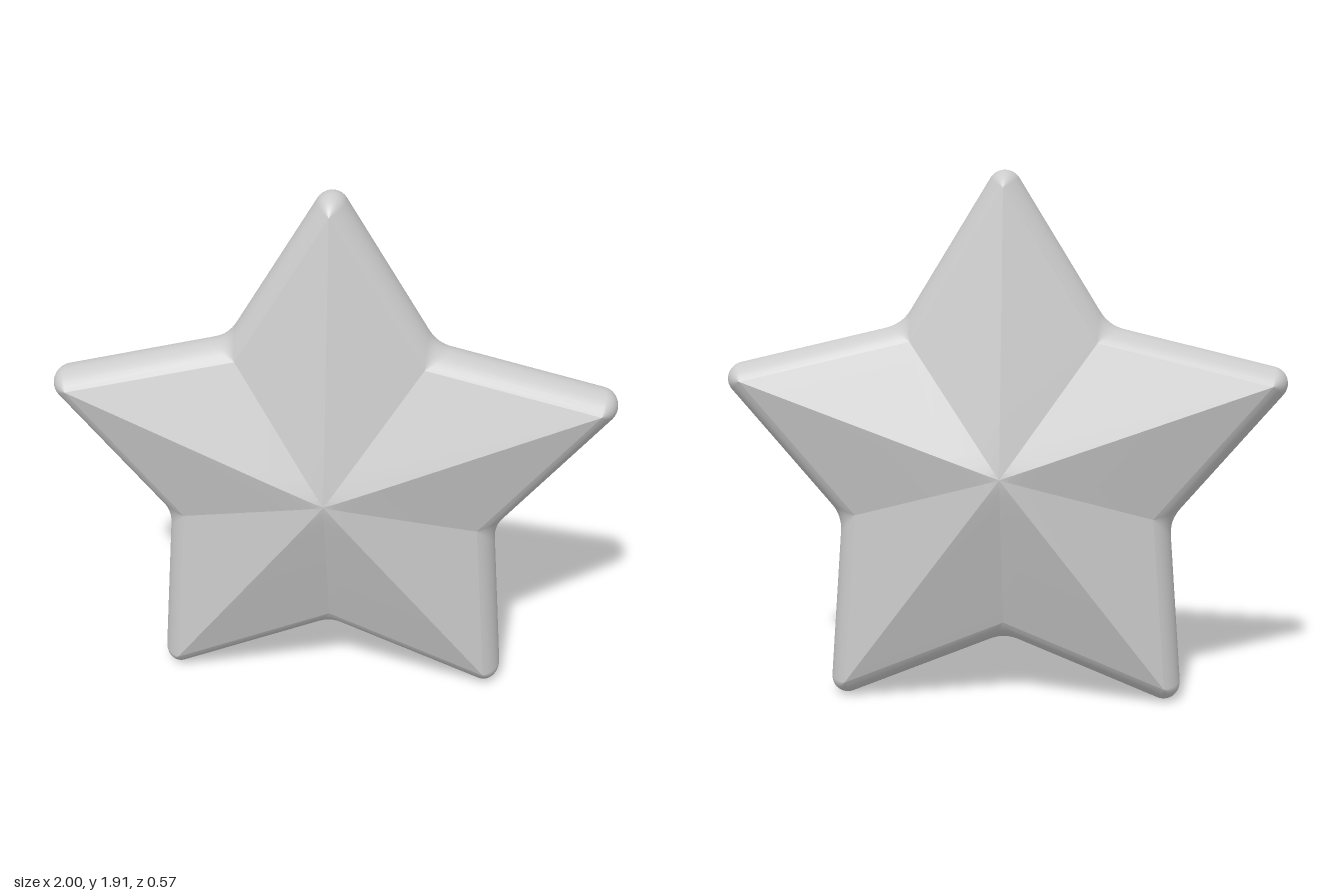
import * as THREE from 'three';
import { toCreasedNormals } from 'three/addons/utils/BufferGeometryUtils.js';

const CENTRE_Y = 0.859, TIP_R = 0.988, NOTCH_R = 0.56;
const RIM_Z = 0.1, BEVEL = 0.06, FILLET = 0.06;

const polar = (r, a) => new THREE.Vector2(r * Math.cos(a), r * Math.sin(a));

// Corners of the star's face: even = tip, odd = notch, counter-clockwise
const corners = Array.from({ length: 10 }, (_, i) =>
  polar(i % 2 ? NOTCH_R : TIP_R, Math.PI / 2 + i * Math.PI / 5));

function makeGeometry(positions, index) {
  const geo = new THREE.BufferGeometry();
  geo.setAttribute('position', new THREE.Float32BufferAttribute(positions, 3));
  geo.setIndex(index);
  return geo;
}

// Ridged face: scaled star rings rising to a softly rounded centre
function faceGeometry() {
  const rings = [[1, RIM_Z], [0.2, 0.254], [0.12, 0.268], [0.05, 0.28]];
  const pos = [], index = [];
  for (const [t, z] of rings) for (const c of corners) pos.push(c.x * t, c.y * t, z);
  pos.push(0, 0, 0.285);
  const apex = rings.length * 10;
  for (let k = 0; k < rings.length; k++) {
    for (let i = 0; i < 10; i++) {
      const n = (i + 1) % 10, a = k * 10 + i, b = k * 10 + n;
      if (k === rings.length - 1) index.push(a, b, apex);
      else index.push(a, b, b + 10, a, b + 10, a + 10);
    }
  }
  return toCreasedNormals(makeGeometry(pos, index), 0.22);
}

// Rim outline: each sample is a face corner plus its outward offset
function rimSamples() {
  const samples = [];
  corners.forEach((c, i) => {
    const prev = corners[(i + 9) % 10], next = corners[(i + 1) % 10];
    const dirIn = c.clone().sub(prev).normalize();
    const dirOut = next.clone().sub(c).normalize();
    const nIn = new THREE.Vector2(dirIn.y, -dirIn.x);
    const nOut = new THREE.Vector2(dirOut.y, -dirOut.x);
    if (i % 2 === 0) {
      // round tip
      const a0 = nIn.angle();
      let turn = nOut.angle() - a0;
      if (turn < 0) turn += Math.PI * 2;
      for (let s = 0; s <= 10; s++) samples.push([c, polar(BEVEL, a0 + turn * s / 10)]);
    } else {
      // filleted notch
      const mid = nIn.clone().add(nOut).normalize();
      mid.multiplyScalar(BEVEL / mid.dot(nIn));
      const start = mid.clone().addScaledVector(dirIn, -FILLET);
      const end = mid.clone().addScaledVector(dirOut, FILLET);
      const curve = new THREE.QuadraticBezierCurve(start, mid, end);
      for (const p of curve.getPoints(8)) samples.push([c, p]);
    }
  });
  return samples;
}

// Rounded rim: an arc profile swept round the outline from front to back
function rimGeometry() {
  const samples = rimSamples(), steps = 14, A = Math.PI / 3;
  const pos = [], index = [], row = steps + 1, count = samples.length;
  for (const [c, v] of samples) {
    for (let j = 0; j <= steps; j++) {
      const a = A - 2 * A * j / steps;
      const o = (Math.cos(a) - Math.cos(A)) / (1 - Math.cos(A));
      pos.push(c.x + v.x * o, c.y + v.y * o, RIM_Z * Math.sin(a) / Math.sin(A));
    }
  }
  for (let i = 0; i < count; i++) {
    for (let j = 0; j < steps; j++) {
      const a = i * row + j, b = ((i + 1) % count) * row + j;
      index.push(a, a + 1, b, b, a + 1, b + 1);
    }
  }
  const geo = makeGeometry(pos, index);
  geo.computeVertexNormals();
  return geo;
}

export function createModel() {
  const group = new THREE.Group();
  group.name = 'star';
  const material = new THREE.MeshStandardMaterial({ color: 0xcccccc });
  const add = (name, geometry) => {
    const mesh = new THREE.Mesh(geometry, material);
    mesh.name = name;
    mesh.position.y = CENTRE_Y;
    group.add(mesh);
    return mesh;
  };
  const face = faceGeometry();
  add('frontFace', face);
  add('backFace', face).rotation.y = Math.PI;
  add('roundedRim', rimGeometry());
  return group;
}
